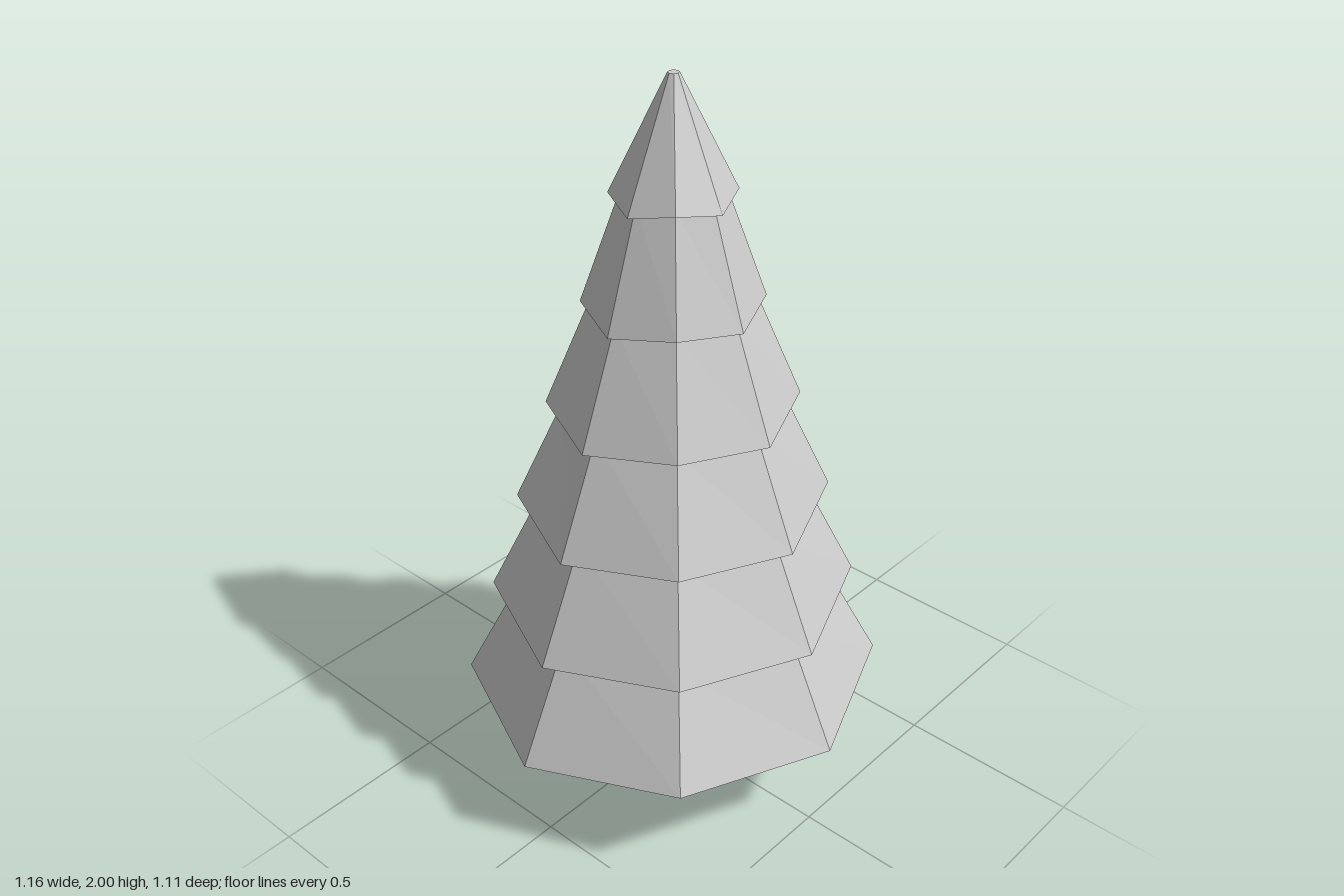
import * as THREE from 'three';

const SIDES = 8;
const DEPTH = 0.957; // the tree is slightly narrower front to back

// Closed faceted solid from rings [radius, y, lift of every second corner]
function facetedSolid(name, rings, material) {
  const pos = [];
  const corner = ([r, y, lift = 0], j) => {
    const a = (j / SIDES) * Math.PI * 2;
    return [r * Math.cos(a), y + (j % 2 ? lift : 0), r * Math.sin(a) * DEPTH];
  };
  for (let i = 0; i < rings.length - 1; i++) {
    const lo = rings[i], hi = rings[i + 1];
    for (let j = 0; j < SIDES; j++) {
      const a = corner(lo, j), b = corner(lo, j + 1);
      const c = corner(hi, j + 1), d = corner(hi, j);
      if (hi[0] > 0) pos.push(...a, ...d, ...c);
      if (lo[0] > 0) pos.push(...a, ...c, ...b);
    }
  }
  const geo = new THREE.BufferGeometry();
  geo.setAttribute('position', new THREE.Float32BufferAttribute(pos, 3));
  geo.computeVertexNormals();
  const mesh = new THREE.Mesh(geo, material);
  mesh.name = name;
  return mesh;
}

export function createModel() {
  const tree = new THREE.Group();
  tree.name = 'firTree';
  const material = new THREE.MeshStandardMaterial({ color: 0xcccccc, flatShading: true });

  // Trunk, pinched at the waist and set slightly forward
  const trunk = facetedSolid('trunk', [
    [0, 0], [0.098, 0], [0.06, 0.15], [0.1, 0.32], [0, 0.32],
  ], material);
  trunk.position.z = 0.008;
  tree.add(trunk);

  // Foliage: each tier flares to a rim, then tucks in beneath the next one
  const tiers = [ // rim radius, rim height, radius at the tier's top
    [0.58, 0.277, 0.425],
    [0.5, 0.56, 0.355],
    [0.42, 0.842, 0.285],
    [0.332, 1.123, 0.21],
    [0.235, 1.405, 0.13],
    [0.16, 1.69, 0.015],
  ];
  const rings = [[0, 0.315], [0.46, 0.315]];
  tiers.forEach(([rim, y, top], i) => {
    rings.push([rim, y, 0.02]);
    const next = tiers[i + 1];
    rings.push([top, next ? next[1] + 0.025 : 2]);
  });
  rings.push([0, 2]);
  tree.add(facetedSolid('foliage', rings, material));

  return tree;
}
